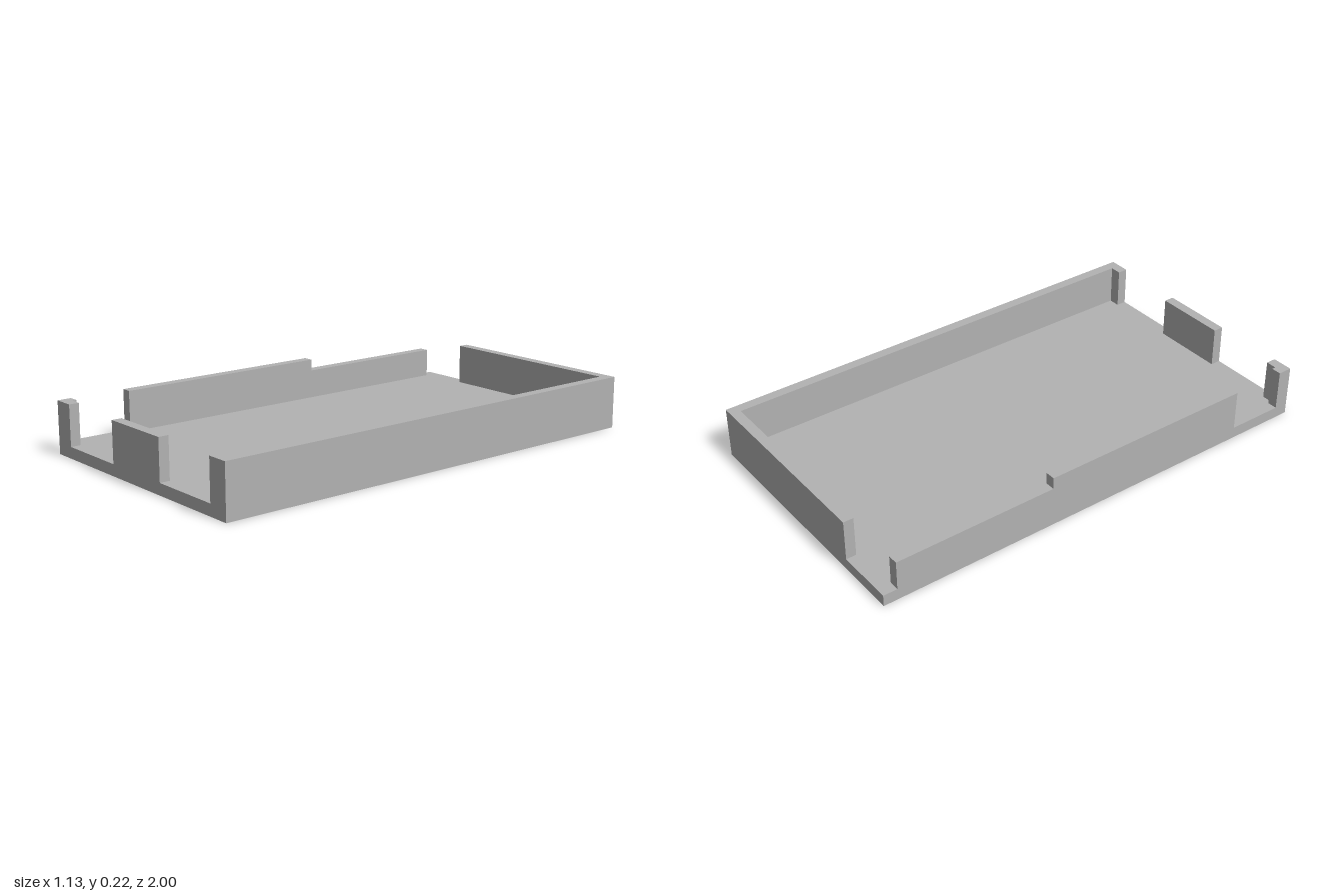
import * as THREE from 'three';

export function createModel() {
  const model = new THREE.Group();
  model.name = 'openTray';
  const plasticGrey = new THREE.MeshStandardMaterial({ color: 0xb2b2b2 });
  plasticGrey.name = 'plasticGrey';

  const X = 0.565, Z = 1;      // half width and half length
  const T = 0.043;             // wall thickness
  const FLOOR = 0.048, TOP = 0.219, LOW = 0.17;

  // Floor plate
  const floor = new THREE.Mesh(new THREE.BoxGeometry(2 * X, FLOOR, 2 * Z), plasticGrey);
  floor.name = 'floor';
  floor.position.y = FLOOR / 2;
  model.add(floor);

  // A wall stands on the floor; its footprint is a list of [x, z] corners
  function wall(name, points, top = TOP) {
    const shape = new THREE.Shape(points.map(([x, z]) => new THREE.Vector2(x, -z)));
    const geometry = new THREE.ExtrudeGeometry(shape, { depth: top - FLOOR, bevelEnabled: false });
    geometry.rotateX(-Math.PI / 2);
    geometry.translate(0, FLOOR, 0);
    const mesh = new THREE.Mesh(geometry, plasticGrey);
    mesh.name = name;
    model.add(mesh);
  }
  const rect = (x0, x1, z0, z1) => [[x0, z0], [x1, z0], [x1, z1], [x0, z1]];

  // Continuous wall: back, left side and the short front return
  wall('backAndLeftWall', [
    [-0.318, -Z], [X, -Z], [X, Z], [0.473, Z], [0.473, Z - T],
    [X - T, Z - T], [X - T, -Z + T], [-0.318, -Z + T],
  ]);

  // Front tab between the two openings
  wall('frontTab', rect(-0.16, 0.157, Z - T, Z));

  // Small L-shaped post in the front right corner
  wall('cornerPost', [
    [-X, 0.94], [-X + T, 0.94], [-X + T, Z - T], [-0.475, Z - T], [-0.475, Z], [-X, Z],
  ]);

  // Right side wall, lower towards the back
  wall('rightWall', rect(-X, -X + T, -0.24, 0.7));
  wall('rightWallLow', rect(-X, -X + T, -0.94, -0.24), LOW);

  return model;
}
